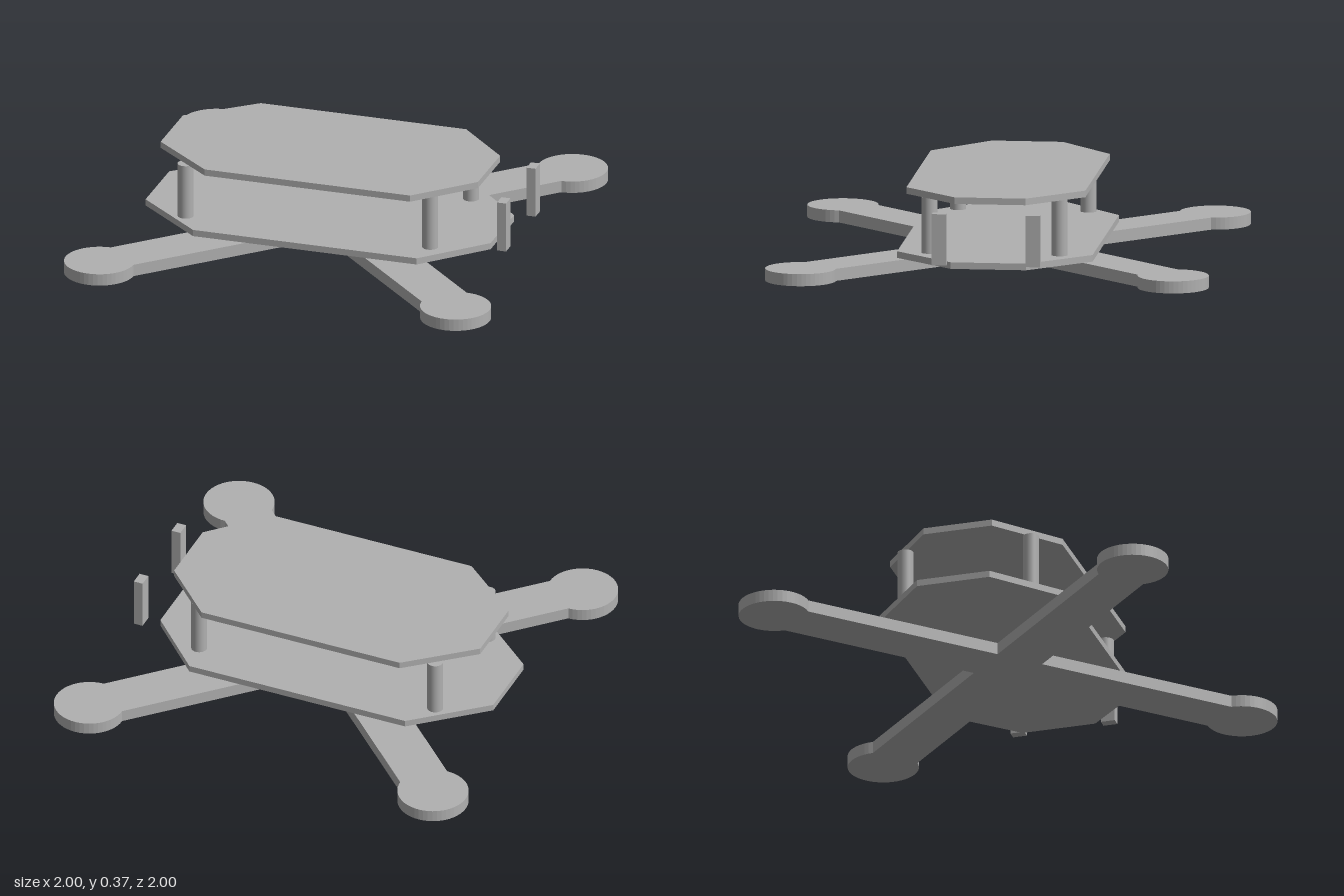
import * as THREE from 'three';

const grey = new THREE.MeshStandardMaterial({ color: 0xb0b0b0 });
grey.name = 'grey';

export function createModel() {
  const group = new THREE.Group();
  group.name = 'quadcopterFrame';

  const add = (name, geometry, x = 0, y = 0, z = 0) => {
    const mesh = new THREE.Mesh(geometry, grey);
    mesh.name = name;
    mesh.position.set(x, y, z);
    group.add(mesh);
  };

  // Extrude a ground-plan outline upwards
  const slab = (points, height) =>
    new THREE.ExtrudeGeometry(new THREE.Shape(points), { depth: height, bevelEnabled: false }).rotateX(-Math.PI / 2);

  // Crossed arms with round motor mounts, as one outline
  const reach = 0.84 * Math.SQRT2, radius = 0.16, half = radius / Math.SQRT2, steps = 36;
  const outline = [];
  for (let arm = 0; arm < 4; arm++) {
    const turn = Math.PI / 4 + arm * Math.PI / 2, centre = new THREE.Vector2();
    outline.push(new THREE.Vector2(half, -half).rotateAround(centre, turn));
    for (let i = 0; i <= steps; i++) {
      const a = Math.PI * 1.5 * (i / steps - 0.5);
      outline.push(new THREE.Vector2(reach + radius * Math.cos(a), radius * Math.sin(a)).rotateAround(centre, turn));
    }
  }
  add('crossArms', slab(outline, 0.055));

  // Eight-sided plates: back end, front end, corner x, half width, corner z
  const plate = (x0, x1, c0, c1, w, cz) => slab([
    [x0, -cz], [c0, -w], [c1, -w], [x1, -cz], [x1, cz], [c1, w], [c0, w], [x0, cz],
  ].map(([x, y]) => new THREE.Vector2(x, y)), 0.03);
  add('lowerPlate', plate(-0.843, 0.785, -0.53, 0.525, 0.441, 0.17), 0, 0.055);
  add('upperPlate', plate(-0.775, 0.722, -0.487, 0.482, 0.404, 0.16), 0, 0.34);

  // Posts between the plates and upright bars at the end
  for (const side of [-1, 1]) {
    for (const x of [-0.613, 0.541])
      add('standoffPost', new THREE.CylinderGeometry(0.036, 0.036, 0.255, 32), x, 0.2125, side * 0.294);
    add('cameraBar', new THREE.BoxGeometry(0.043, 0.233, 0.065), 0.861, 0.203, side * 0.212);
  }
  return group;
}
